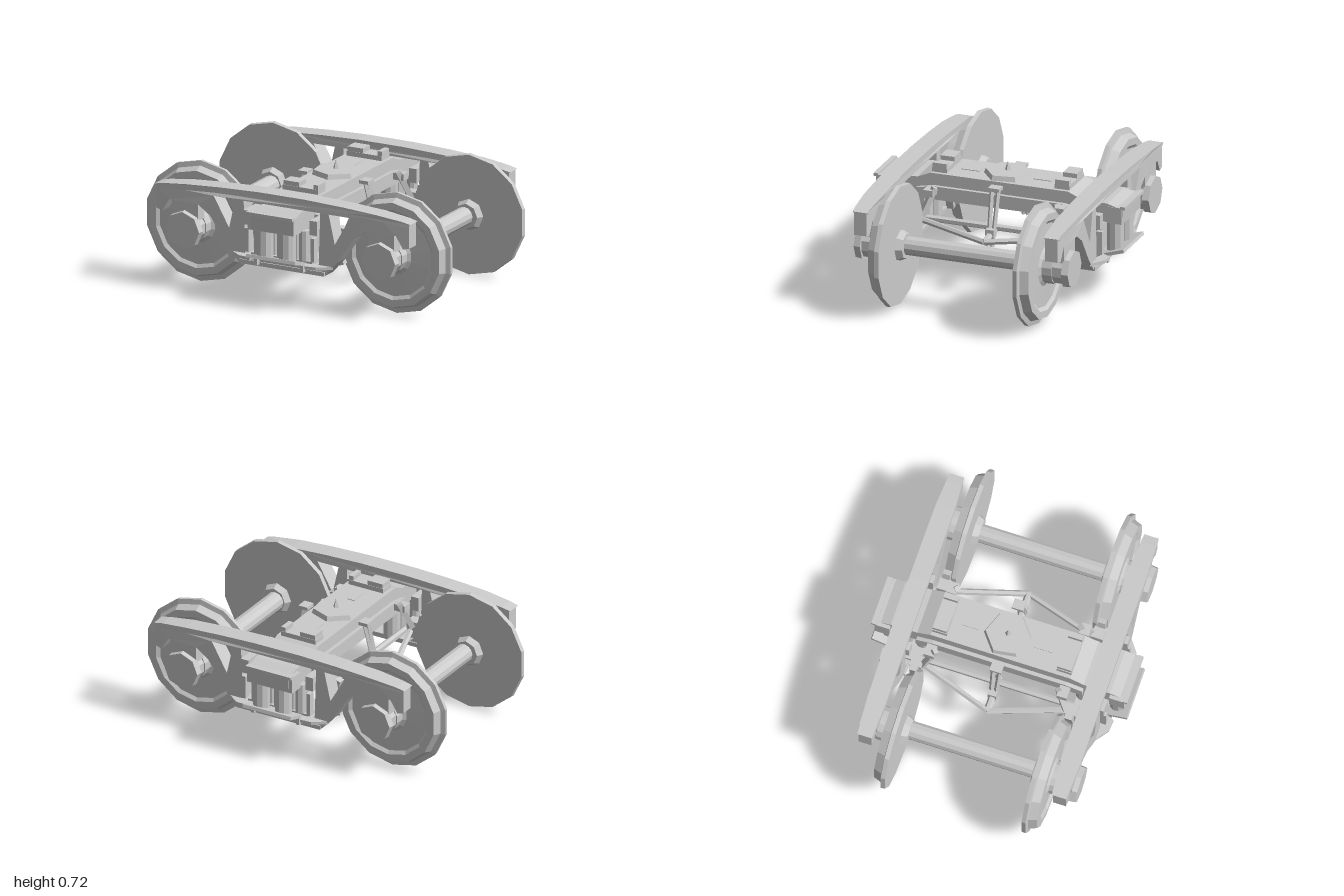
import * as THREE from 'three';

const mat = new THREE.MeshStandardMaterial({ color: 0xcccccc, flatShading: true, side: THREE.DoubleSide });

function add(parent, name, geo, x = 0, y = 0, z = 0) {
  const m = new THREE.Mesh(geo, mat);
  m.name = name;
  m.position.set(x, y, z);
  parent.add(m);
  return m;
}
const box = (p, name, w, h, d, x, y, z) => add(p, name, new THREE.BoxGeometry(w, h, d), x, y, z);
const pts = (a) => a.map(([x, y]) => new THREE.Vector2(x, y));

// Round bar between two points
function rod(p, name, a, b, r, sides = 6) {
  const A = new THREE.Vector3(...a), B = new THREE.Vector3(...b);
  const m = add(p, name, new THREE.CylinderGeometry(r, r, A.distanceTo(B), sides));
  m.position.copy(A).add(B).multiplyScalar(0.5);
  m.quaternion.setFromUnitVectors(new THREE.Vector3(0, 1, 0), B.sub(A).normalize());
}

// Outline in x/y extruded along z, centred on z = 0
function plate(outline, depth, holes = []) {
  const s = new THREE.Shape(pts(outline));
  holes.forEach((h) => s.holes.push(new THREE.Path(pts(h))));
  return new THREE.ExtrudeGeometry(s, { depth, bevelEnabled: false }).translate(0, 0, -depth / 2);
}
const mirrorX = (a) => a.concat(a.slice().reverse().map(([x, y]) => [-x, y]));

// Narrow a plate towards its ends
function taperEnds(geo) {
  const pos = geo.attributes.position;
  for (let i = 0; i < pos.count; i++) {
    const k = Math.max(0, Math.abs(pos.getX(i)) - 0.6);
    pos.setZ(i, pos.getZ(i) * (1 - k));
  }
  geo.computeVertexNormals();
  return geo;
}

// Wheel profile: radius, distance from the track centre
const wheelProfile = pts([
  [0, 0.41], [0.357, 0.41], [0.36, 0.436], [0.33, 0.442], [0.312, 0.49],
  [0.27, 0.49], [0.25, 0.475], [0.12, 0.478], [0.1, 0.49], [0.1, 0.55], [0, 0.55],
]);

function wheelSet(x) {
  const g = new THREE.Group();
  g.name = 'wheelSet';
  g.position.set(x, 0.36, 0);
  const axle = new THREE.CylinderGeometry(0.055, 0.055, 1.2, 12).rotateX(Math.PI / 2);
  add(g, 'axle', axle, -0.01 * Math.sign(x));
  for (const s of [1, -1]) {
    const side = new THREE.Group();
    side.name = 'wheelEnd';
    side.rotation.y = s > 0 ? 0 : Math.PI;
    g.add(side);
    add(side, 'wheel', new THREE.LatheGeometry(wheelProfile, 14).rotateX(Math.PI / 2));
    add(side, 'innerHub', new THREE.CylinderGeometry(0.095, 0.075, 0.04, 8).rotateX(Math.PI / 2), 0, 0, 0.392);
    add(side, 'bearing', new THREE.CylinderGeometry(0.095, 0.095, 0.1, 10).rotateX(Math.PI / 2), 0, 0, 0.58);
    add(side, 'bearingCap', new THREE.CylinderGeometry(0.11, 0.115, 0.04, 8).rotateX(Math.PI / 2), 0, 0, 0.635);
    box(side, 'bearingAdapter', 0.17, 0.11, 0.08, 0, 0.115, 0.585);
  }
  return g;
}

// Side assembly, built for the +z side
function sideAssembly() {
  const g = new THREE.Group();
  g.name = 'sideAssembly';

  // Side frame with bolster window and two triangular openings
  const outline = mirrorX([
    [0.28, 0.22], [0.36, 0.31], [0.47, 0.47], [0.55, 0.525], [0.74, 0.525],
    [0.785, 0.45], [0.825, 0.46], [0.825, 0.6], [0.62, 0.627], [0.4, 0.642], [0.15, 0.652],
  ]);
  const tri = [[0.305, 0.59], [0.445, 0.59], [0.345, 0.415]];
  const frame = plate(outline, 0.1, [
    [[-0.24, 0.27], [0.24, 0.27], [0.25, 0.59], [-0.25, 0.59]],
    tri, tri.map(([x, y]) => [-x, y]),
  ]);
  add(g, 'sideFrame', taperEnds(frame), 0, 0, 0.585);

  // Flanges along the top and bottom of the frame
  const top = mirrorX([[0.4, 0.615], [0.8, 0.585], [0.835, 0.605], [0.78, 0.617], [0.62, 0.635], [0.4, 0.649], [0.15, 0.658]]);
  add(g, 'topFlange', taperEnds(plate(top, 0.114)), 0, 0, 0.585);
  box(g, 'bottomFlange', 0.56, 0.025, 0.115, 0, 0.23, 0.585);

  // Spring seat: flat inside the frame, with sloping outer wings
  box(g, 'springSeat', 0.4, 0.02, 0.19, 0, 0.282, 0.545);
  const wing = box(g, 'springSeatWing', 0.32, 0.02, 0.14, 0, 0.292, 0.702);
  wing.rotation.x = -0.3;

  // Large outer springs in pairs, with smaller ones behind
  for (const z of [0.485, 0.585, 0.69])
    for (const x of [-0.08, 0.065])
      add(g, 'spring', new THREE.CylinderGeometry(0.05, 0.05, 0.18, 10), x, 0.38, z);
  for (const x of [-0.155, -0.005, 0.14])
    add(g, 'smallSpring', new THREE.CylinderGeometry(0.032, 0.032, 0.18, 8), x, 0.38, 0.62);

  for (const s of [1, -1]) {
    // Column guides, wedges and gussets
    box(g, 'wedge', 0.05, 0.085, 0.14, s * 0.215, 0.5, 0.585);
    box(g, 'columnGuide', 0.025, 0.14, 0.04, s * 0.215, 0.37, 0.645);
    const gusset = new THREE.Shape(pts([[s * 0.15, 0.63], [s * 0.33, 0.63], [s * 0.25, 0.69], [s * 0.18, 0.695]]));
    add(g, 'gusset', new THREE.ExtrudeGeometry(gusset, { depth: 0.018, bevelEnabled: false })
      .rotateX(Math.PI / 2), 0, 0.28, 0);
    box(g, 'seatTab', 0.02, 0.05, 0.03, s * 0.15, 0.255, 0.66);
    // Brake shoe curved around the wheel tread, with its holder and hanger
    const arc = [];
    for (const [r, d] of [[0.335, 1], [0.37, -1]])
      for (let i = -2; i <= 2; i++) {
        const a = i * d * 0.16;
        arc.push([s * (0.64 - r * Math.cos(a)), 0.36 + r * Math.sin(a)]);
      }
    add(g, 'brakeShoe', plate(arc, 0.045), 0, 0, 0.467);
    box(g, 'shoeHolder', 0.07, 0.1, 0.07, s * 0.245, 0.38, 0.465);
    rod(g, 'brakeHanger', [s * 0.25, 0.4, 0.43], [s * 0.2, 0.56, 0.37], 0.022, 4);
    box(g, 'hangerBracket', 0.07, 0.04, 0.06, s * 0.2, 0.53, 0.4);
  }
  return g;
}

function bolster() {
  const g = new THREE.Group();
  g.name = 'bolster';
  // Upper beam, profile running across the track
  const upper = mirrorX([[0.75, 0.47], [0.755, 0.555], [0.66, 0.582], [0.5, 0.588], [0.42, 0.622]]);
  add(g, 'bolsterBeam', plate(upper, 0.275).rotateY(Math.PI / 2));
  // Wider lower part
  const lower = mirrorX([[0.5, 0.47], [0.5, 0.53], [0.4, 0.55]]);
  add(g, 'bolsterBase', plate(lower, 0.32).rotateY(Math.PI / 2));
  // Centre plate with pin
  const centrePlate = add(g, 'centrePlate', new THREE.CylinderGeometry(0.13, 0.14, 0.028, 6), 0, 0.636, 0);
  centrePlate.rotation.y = 0.15;
  add(g, 'centrePin', new THREE.ConeGeometry(0.02, 0.06, 4), 0, 0.675, 0);
  for (const s of [1, -1]) {
    box(g, 'sideBearingBase', 0.23, 0.03, 0.09, 0, 0.635, s * 0.375);
    box(g, 'sideBearing', 0.1, 0.03, 0.085, -0.06, 0.662, s * 0.375);
    box(g, 'sideBearingStop', 0.03, 0.03, 0.085, 0.1, 0.662, s * 0.375);
    box(g, 'topLug', 0.045, 0.008, 0.11, 0, 0.622, s * 0.22);
    box(g, 'bolsterEnd', 0.3, 0.1, 0.09, -0.01, 0.515, s * 0.705);
    box(g, 'endLip', 0.3, 0.018, 0.03, -0.01, 0.565, s * 0.755);
  }
  return g;
}

// Trussed brake beam and twin lever beside the bolster
function brakeBeam(s) {
  const g = new THREE.Group();
  g.name = 'brakeBeam';
  rod(g, 'compressionBar', [s * 0.2, 0.37, -0.46], [s * 0.2, 0.37, 0.46], 0.02);
  for (const z of [1, -1]) {
    rod(g, 'tensionRod', [s * 0.23, 0.37, z * 0.45], [s * 0.375, 0.34, 0], 0.018);
    rod(g, 'brakeLever', [s * 0.28, 0.28, z * 0.012], [s * 0.2, 0.61, z * 0.02], 0.014, 4);
  }
  rod(g, 'strut', [s * 0.16, 0.36, 0], [s * 0.38, 0.34, 0], 0.02);
  box(g, 'leverClevis', 0.06, 0.02, 0.07, s * 0.2, 0.605, 0);
  box(g, 'strutFoot', 0.05, 0.05, 0.05, s * 0.27, 0.36, 0);
  return g;
}

export function createModel() {
  const model = new THREE.Group();
  model.name = 'railBogie';
  for (const s of [1, -1]) {
    model.add(wheelSet(s * 0.64), brakeBeam(s));
    const side = sideAssembly();
    side.rotation.y = s > 0 ? 0 : Math.PI;
    model.add(side);
  }
  model.add(bolster());
  return model;
}
